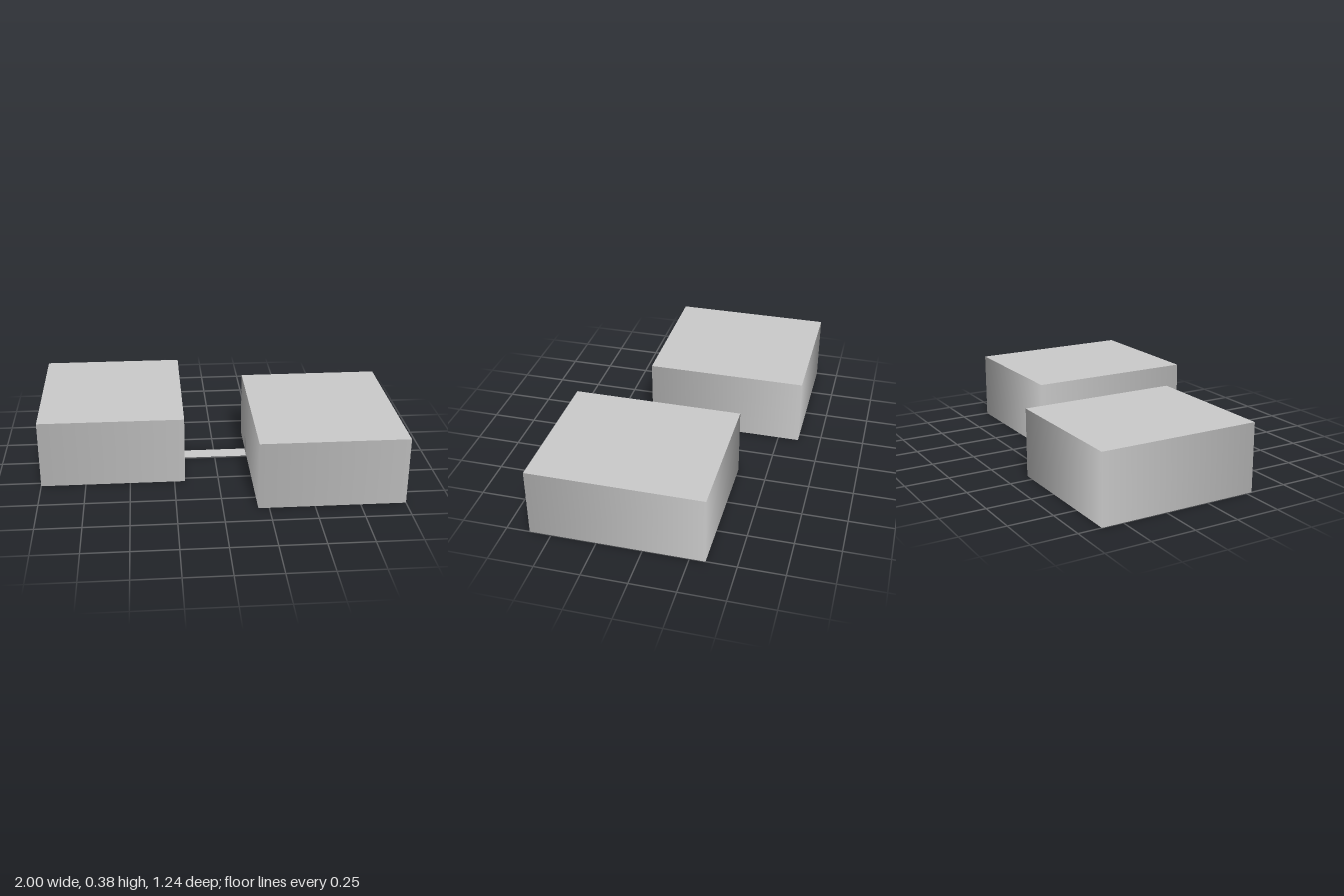
import * as THREE from 'three';

const HEIGHT = 0.385;
const INNER_X = 0.19;

export function createModel() {
  const model = new THREE.Group();
  const grey = new THREE.MeshStandardMaterial({ color: 0xcccccc });
  const thin = new THREE.MeshStandardMaterial({ color: 0xcccccc, side: THREE.DoubleSide });

  function add(name, geometry, material, x, y, z) {
    const mesh = new THREE.Mesh(geometry, material);
    mesh.name = name;
    mesh.position.set(x, y, z);
    model.add(mesh);
  }

  // Rectangular block: a four-sided prism keeps smooth wall normals and flat caps
  function addBlock(name, x0, x1, z0, z1) {
    const r = Math.SQRT1_2;
    const geometry = new THREE.CylinderGeometry(r, r, 1, 4, 1, false, Math.PI / 4);
    geometry.scale(x1 - x0, HEIGHT, z1 - z0);
    add(name, geometry, grey, (x0 + x1) / 2, HEIGHT / 2, (z0 + z1) / 2);
  }
  addBlock('rightBlock', -1, -INNER_X, -0.62, 0.285);
  addBlock('leftBlock', INNER_X, 1, -0.335, 0.62);

  // Thin walkway joining the blocks at ground level
  const walkWidth = 0.095;
  const walkZ = -0.05;
  const floor = new THREE.PlaneGeometry(INNER_X * 2, walkWidth).rotateX(-Math.PI / 2);
  add('walkway', floor, thin, 0, 0.002, walkZ);

  // Small door panel on the wall at each end of the walkway
  const doorHeight = 0.09;
  for (const side of [-1, 1]) {
    const door = new THREE.PlaneGeometry(walkWidth, doorHeight).rotateY(-side * Math.PI / 2);
    add(side > 0 ? 'leftDoor' : 'rightDoor', door, thin, side * (INNER_X - 0.002), doorHeight / 2, walkZ);
  }
  return model;
}
